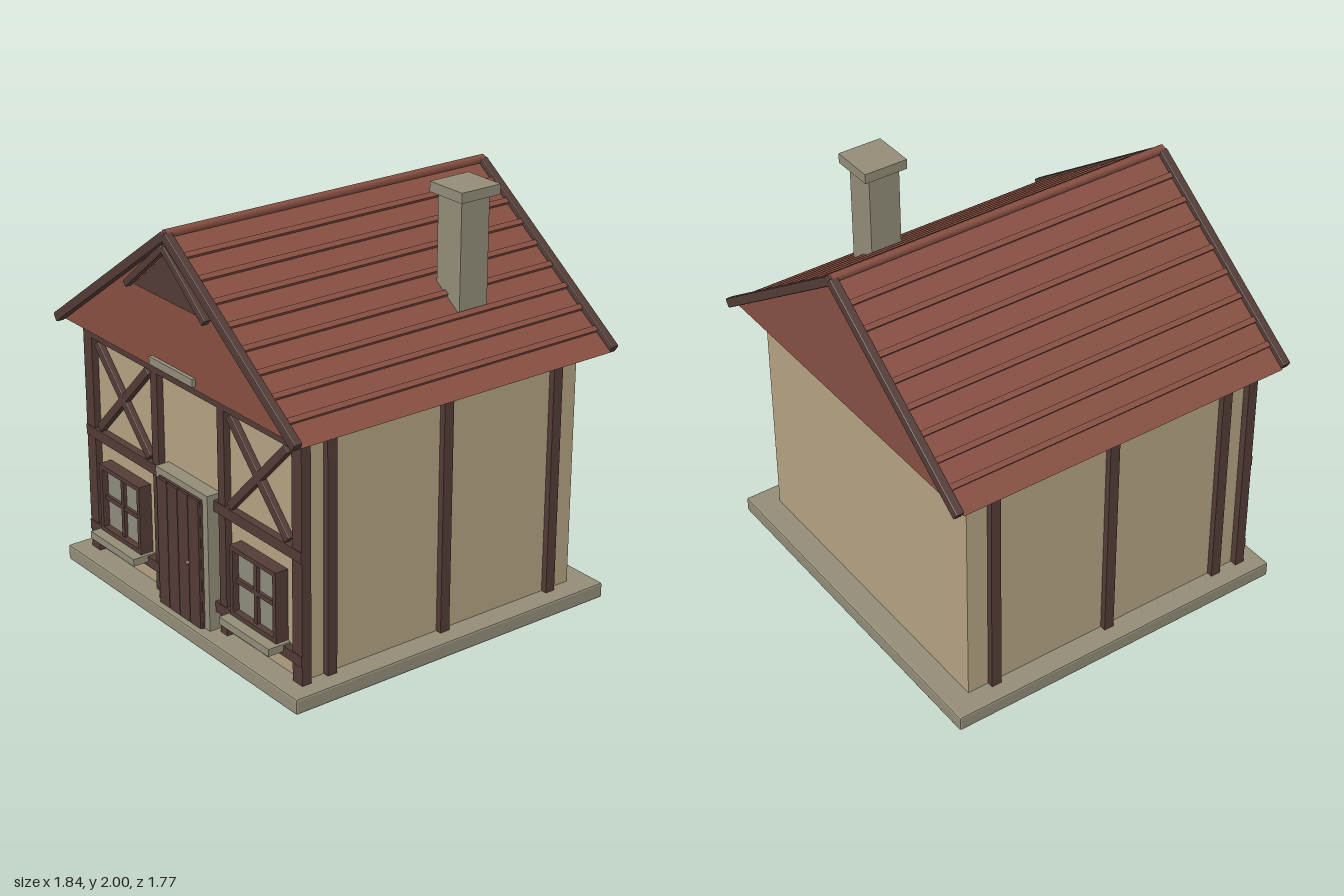
import * as THREE from 'three';
import { RoundedBoxGeometry } from 'three/addons/geometries/RoundedBoxGeometry.js';

const mat = (name, color) => {
  const m = new THREE.MeshStandardMaterial({ color });
  m.name = name;
  return m;
};

export function createModel() {
  const plaster = mat('plaster', 0xb5a383);
  const timber = mat('timber', 0x533c36);
  const tile = mat('roofTile', 0x874f42);
  const stone = mat('stone', 0x928c78);
  const glass = mat('glass', 0x8f8b7d);
  const metal = mat('metal', 0x6e5a48);

  const house = new THREE.Group();
  house.name = 'house';

  const add = (name, geo, material, parent = house) => {
    const mesh = new THREE.Mesh(geo, material);
    mesh.name = name;
    parent.add(mesh);
    return mesh;
  };
  // Box given by its lower and upper limits on each axis
  const box = (name, material, x0, x1, y0, y1, z0, z1, parent) => {
    const m = add(name, new THREE.BoxGeometry(x1 - x0, y1 - y0, z1 - z0), material, parent);
    m.position.set((x0 + x1) / 2, (y0 + y1) / 2, (z0 + z1) / 2);
    return m;
  };
  // Chamfered box with flat faces
  const chamferBox = (w, h, d, r) => {
    let g = new RoundedBoxGeometry(w, h, d, 1, r);
    if (g.index) g = g.toNonIndexed();
    g.computeVertexNormals();
    return g;
  };
  // Straight bar between two points in the xy plane
  const bar = (name, material, ax, ay, bx, by, z, width, depth, parent) => {
    const len = Math.hypot(bx - ax, by - ay);
    const m = add(name, chamferBox(len, width, depth, 0.006), material, parent);
    m.position.set((ax + bx) / 2, (ay + by) / 2, z);
    m.rotation.z = Math.atan2(by - ay, bx - ax);
    return m;
  };
  // Triangular prism standing on y = base
  const prism = (half, base, apex, z0, z1) => {
    const s = new THREE.Shape([
      new THREE.Vector2(-half, base), new THREE.Vector2(half, base), new THREE.Vector2(0, apex),
    ]);
    const g = new THREE.ExtrudeGeometry(s, { depth: z1 - z0, bevelEnabled: false });
    return g.translate(0, 0, z0);
  };

  // Foundation and walls
  add('foundation', chamferBox(1.81, 0.075, 1.74, 0.01), stone).position.y = 0.0375;
  box('walls', plaster, -0.795, 0.795, 0.07, 1.225, -0.75, 0.75);

  // Roof body
  const APEX = 1.865, EAVE = 1.22, HALF = 0.915;
  const slope = (APEX - EAVE) / HALF;
  add('roof', prism(HALF, EAVE, APEX, -0.842, 0.842), tile);

  // Tile courses running along both slopes, and the ridge
  for (const s of [-1, 1]) {
    for (let i = 1; i <= 8; i++) {
      const x = i * 0.1015;
      const c = add('tileCourse', new THREE.BoxGeometry(0.026, 0.024, 1.69), tile);
      c.position.set(s * x, APEX - slope * x + 0.004, 0);
      c.rotation.z = -s * Math.atan(slope);
    }
  }
  const ridge = add('ridge', new THREE.CylinderGeometry(0.021, 0.021, 1.74, 8), tile);
  ridge.rotation.x = Math.PI / 2;
  ridge.position.y = 1.874;

  // Barge boards on both gables
  for (const s of [-1, 1]) {
    for (const z of [-0.862, 0.862]) {
      bar('bargeBoard', timber, 0, 1.867, s * 0.91, 1.226, z, 0.044, 0.042);
    }
    // Small gable ornament bars
    bar('gableTrim', timber, 0, 1.815, s * 0.3, 1.57, 0.872, 0.034, 0.036);
  }
  add('gablePanel', prism(0.27, 1.57, 1.79, 0.84, 0.855), timber);
  box('gableSign', stone, -0.165, 0.165, 1.235, 1.272, 0.84, 0.86);

  // Chimney
  box('chimneyStack', stone, 0.445, 0.6, 1.35, 1.96, -0.39, -0.235);
  box('chimneyCap', stone, 0.415, 0.627, 1.953, 2, -0.427, -0.212);

  // Timber framing, mirrored left and right
  for (const s of [-1, 1]) {
    const side = new THREE.Group();
    side.name = s > 0 ? 'leftFraming' : 'rightFraming';
    house.add(side);
    const mbox = (name, m, x0, x1, ...rest) =>
      box(name, m, Math.min(s * x0, s * x1), Math.max(s * x0, s * x1), ...rest, side);

    mbox('cornerPost', timber, 0.762, 0.83, 0.075, 1.225, 0.735, 0.783);
    mbox('innerPost', timber, 0.23, 0.28, 0.075, 1.225, 0.745, 0.783);
    mbox('lowerRail', timber, 0.19, 0.83, 0.165, 0.215, 0.745, 0.787);
    mbox('middleRail', timber, 0.19, 0.83, 0.652, 0.703, 0.745, 0.787);
    for (const z of [-0.62, 0, 0.62]) {
      mbox('sidePost', timber, 0.785, 0.825, 0.075, 1.222, z - 0.025, z + 0.025);
    }

    // Crossed braces
    bar('brace', timber, s * 0.725, 1.135, s * 0.31, 0.715, 0.77, 0.042, 0.034, side);
    bar('brace', timber, s * 0.31, 1.135, s * 0.725, 0.715, 0.768, 0.042, 0.034, side);

    // Window
    const win = new THREE.Group();
    win.name = 'window';
    win.position.set(s * 0.52, 0.393, 0);
    side.add(win);
    box('glass', glass, -0.15, 0.15, -0.15, 0.15, 0.745, 0.783, win);
    for (const e of [-1, 1]) {
      box('frameStile', timber, e * 0.156 - 0.011, e * 0.156 + 0.011, -0.168, 0.168, 0.745, 0.815, win);
      box('frameRail', timber, -0.15, 0.15, e * 0.157 - 0.011, e * 0.157 + 0.011, 0.745, 0.815, win);
    }
    box('muntinUpright', timber, -0.011, 0.011, -0.15, 0.15, 0.75, 0.8, win);
    box('muntinCross', timber, -0.15, 0.15, -0.011, 0.011, 0.75, 0.798, win);
    box('sill', stone, -0.182, 0.182, -0.205, -0.17, 0.745, 0.865, win);
  }
  box('topRail', timber, -0.77, 0.77, 1.15, 1.2, 0.745, 0.785);

  // Door with stone surround, planks and knob
  const door = new THREE.Group();
  door.name = 'door';
  house.add(door);
  for (const s of [-1, 1]) {
    box('doorJamb', stone, s * 0.181 - 0.019, s * 0.181 + 0.019, 0.075, 0.73, 0.745, 0.82, door);
  }
  box('doorLintel', stone, -0.162, 0.162, 0.699, 0.73, 0.745, 0.82, door);
  box('doorBack', timber, -0.162, 0.162, 0.075, 0.699, 0.75, 0.832, door);
  for (let i = 0; i < 4; i++) {
    const x = -0.162 + i * 0.081;
    box('doorPlank', timber, x + 0.002, x + 0.079, 0.078, 0.697, 0.83, 0.843, door);
  }
  const knob = add('doorKnob', new THREE.SphereGeometry(0.011, 12, 8), metal, door);
  knob.position.set(0.09, 0.38, 0.855);

  return house;
}
